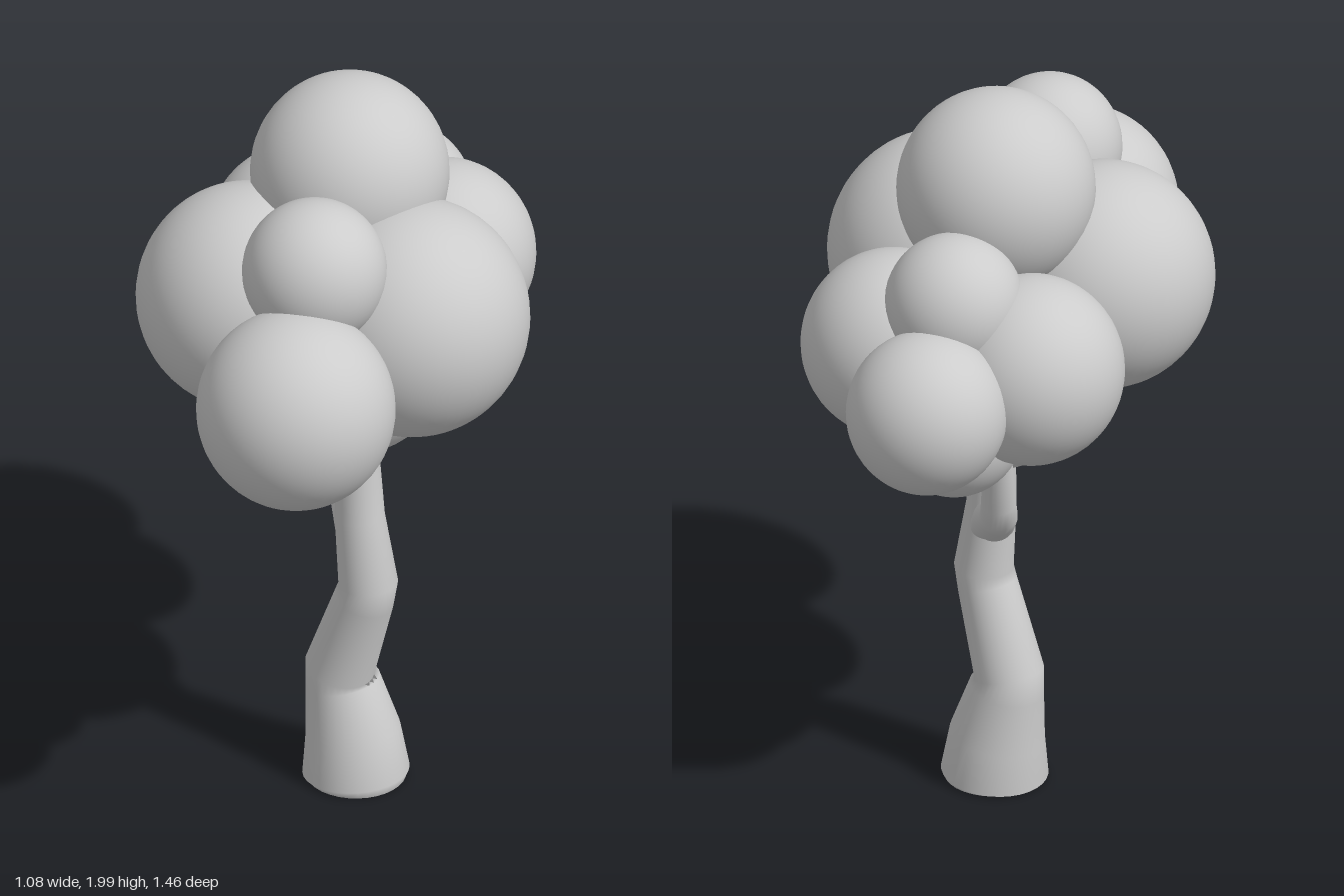
import * as THREE from 'three';

// Smooth tube of varying radius through [x, y, z, radius] sections
function limbGeometry(sections, sides = 32) {
  const up = new THREE.Vector3(0, 1, 0);
  const points = sections.map(([x, y, z]) => new THREE.Vector3(x, y, z));
  const positions = [], indices = [];
  points.forEach((point, i) => {
    const before = points[Math.max(i - 1, 0)];
    const after = points[Math.min(i + 1, points.length - 1)];
    const tangent = after.clone().sub(before).normalize();
    const turn = new THREE.Quaternion().setFromUnitVectors(up, i === 0 ? up : tangent);
    for (let j = 0; j < sides; j++) {
      const angle = (j / sides) * Math.PI * 2;
      const radius = sections[i][3];
      const v = new THREE.Vector3(Math.cos(angle) * radius, 0, Math.sin(angle) * radius);
      v.applyQuaternion(turn).add(point);
      positions.push(v.x, v.y, v.z);
      if (i < points.length - 1) {
        const a = i * sides + j, b = i * sides + (j + 1) % sides;
        indices.push(a, a + sides, b, b, a + sides, b + sides);
      }
    }
  });
  const geometry = new THREE.BufferGeometry();
  geometry.setAttribute('position', new THREE.Float32BufferAttribute(positions, 3));
  geometry.setIndex(indices);
  geometry.computeVertexNormals();
  return geometry;
}

export function createModel() {
  const tree = new THREE.Group();
  tree.name = 'tree';
  const grey = new THREE.MeshStandardMaterial({ color: 0xcccccc });
  grey.name = 'light grey';

  const add = (name, geometry, parent = tree) => {
    const mesh = new THREE.Mesh(geometry, grey);
    mesh.name = name;
    parent.add(mesh);
    return mesh;
  };

  // Crooked trunk with a flared foot
  add('trunk', limbGeometry([
    [0.02, 0.005, 0.03, 0.128], [0.02, 0.018, 0.03, 0.137], [0.014, 0.13, 0.021, 0.122],
    [-0.008, 0.27, 0, 0.096], [-0.014, 0.31, -0.003, 0.09], [0.036, 0.54, 0.055, 0.077],
    [0.044, 0.59, 0.064, 0.076], [0.027, 0.78, 0.042, 0.064],
    [0.022, 0.98, 0.03, 0.056], [0.022, 1.12, 0.025, 0.054],
  ]));
  const base = add('trunkBase', new THREE.CircleGeometry(0.128, 32));
  base.rotation.x = Math.PI / 2;
  base.position.set(0.02, 0.005, 0.03);

  // Side branch bending up into the crown
  add('branch', limbGeometry([
    [0.027, 0.7, 0.045, 0.058], [0.028, 0.765, -0.03, 0.056], [0.03, 0.835, -0.145, 0.05],
    [0.033, 0.865, -0.19, 0.048], [0.036, 0.91, -0.212, 0.045],
    [0.042, 1.03, -0.242, 0.039], [0.06, 1.17, -0.28, 0.034],
  ], 24));

  // Foliage balls, slightly taller than wide: x, y, z, radius
  const crown = new THREE.Group();
  crown.name = 'crown';
  tree.add(crown);
  const ball = new THREE.SphereGeometry(1, 48, 32);
  const balls = {
    topFoliage: [0.027, 1.738, -0.067, 0.254],
    frontLeftFoliage: [0.13, 1.44, 0.183, 0.301],
    frontRightFoliage: [-0.243, 1.39, 0.473, 0.254],
    rightFoliage: [-0.253, 1.445, -0.008, 0.286],
    upperFrontFoliage: [-0.147, 1.67, 0.277, 0.185],
    upperBackFoliage: [0.163, 1.555, -0.337, 0.178],
    backRightFoliage: [-0.03, 1.37, -0.365, 0.24],
    backLeftFoliage: [0.253, 1.345, -0.525, 0.206],
    leftFoliage: [0.303, 1.38, -0.2, 0.237],
    lowerFoliage: [0.027, 1.21, -0.045, 0.253],
    lowerFrontFoliage: [-0.147, 1.205, 0.28, 0.18],
    lowerBackFoliage: [0.163, 1.205, -0.335, 0.18],
  };
  for (const [name, [x, y, z, r]] of Object.entries(balls)) {
    const mesh = add(name, ball, crown);
    mesh.position.set(x, y, z);
    mesh.scale.set(r, r * 1.03, r);
  }
  return tree;
}
